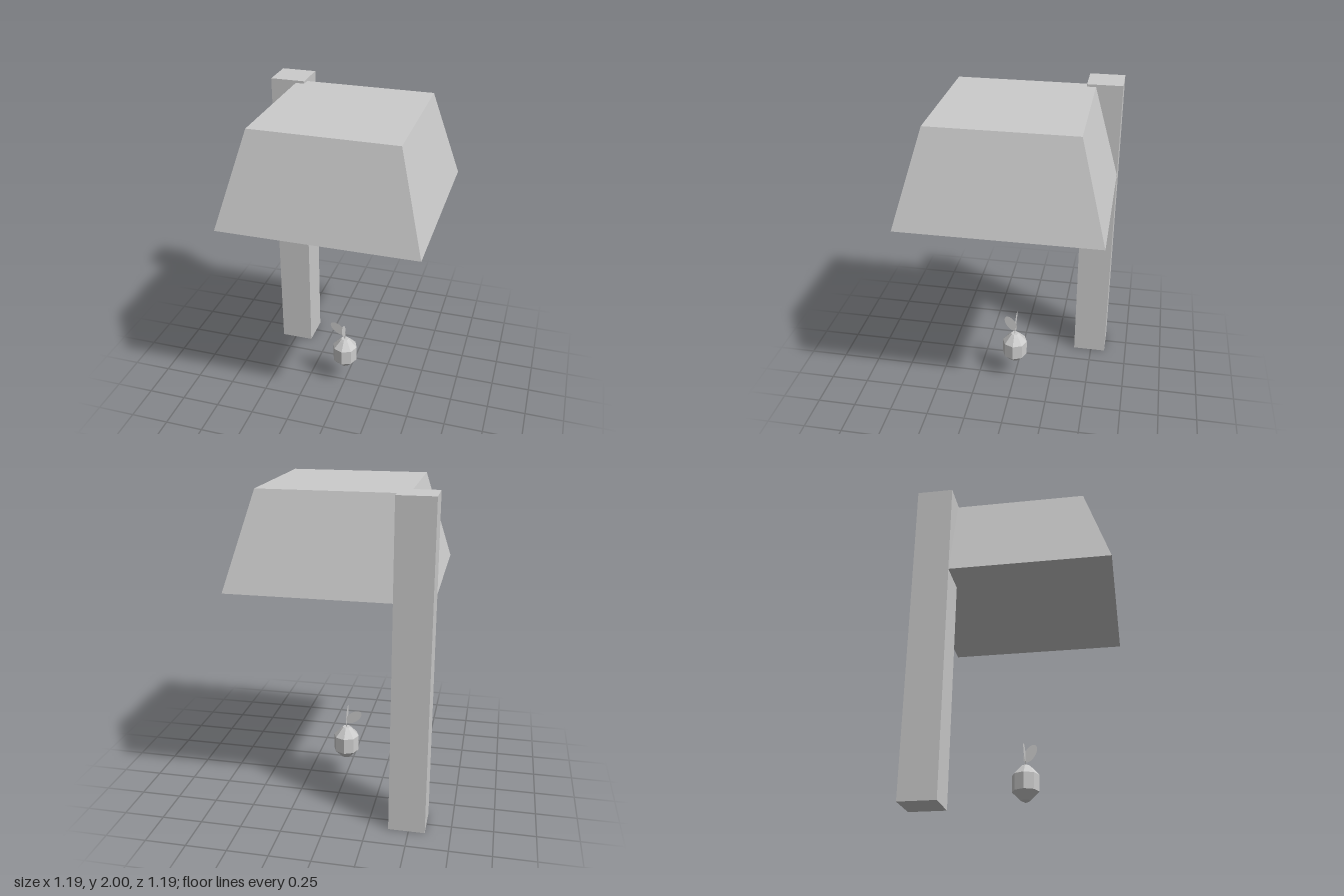
import * as THREE from 'three';

const grey = new THREE.MeshStandardMaterial({ color: 0xcccccc, flatShading: true });
const thin = new THREE.MeshStandardMaterial({ color: 0xcccccc, side: THREE.DoubleSide });

function add(group, name, geometry, material = grey) {
  const mesh = new THREE.Mesh(geometry, material);
  mesh.name = name;
  group.add(mesh);
  return mesh;
}

// Flat oval leaf in the xy plane, its stalk end at the origin, growing along -x
function leafGeometry(tilt) {
  return new THREE.CircleGeometry(1, 20)
    .scale(0.062, 0.033, 1)
    .translate(-0.062, 0, 0)
    .rotateZ(-tilt);
}

export function createModel() {
  const model = new THREE.Group();
  model.name = 'lampWithFruit';

  // Square corner post
  add(model, 'post', new THREE.BoxGeometry(0.22, 2, 0.22)).position.set(-0.488, 1, -0.488);

  // Solid tapered shade: a box with its top corners pulled in
  const shade = new THREE.BoxGeometry(1.194, 0.57, 1.194);
  const p = shade.attributes.position;
  for (let i = 0; i < p.count; i++) {
    if (p.getY(i) > 0) {
      p.setX(i, Math.sign(p.getX(i)) * 0.434);
      p.setZ(i, Math.sign(p.getZ(i)) * 0.434);
    }
  }
  shade.computeVertexNormals();
  add(model, 'shade', shade).position.y = 1.7;

  // Eight-sided fruit
  const fruit = new THREE.Group();
  fruit.name = 'fruit';
  const profile = [
    [0, 0.128], [0.03, 0.142], [0.083, 0.195], [0.083, 0.297],
    [0.04, 0.343], [0.025, 0.357], [0, 0.357],
  ].map(([r, y]) => new THREE.Vector2(r, y));
  add(fruit, 'fruitBody', new THREE.LatheGeometry(profile, 8));

  // Stem and two upright leaves at right angles
  add(fruit, 'stem', new THREE.CylinderGeometry(0.003, 0.003, 0.05, 6)).position.y = 0.375;
  add(fruit, 'rightLeaf', leafGeometry(0.67), thin).position.set(0, 0.39, 0);
  const front = add(fruit, 'frontLeaf', leafGeometry(1.02), thin);
  front.position.set(0, 0.38, -0.005);
  front.rotation.y = Math.PI / 2;
  model.add(fruit);

  return model;
}
